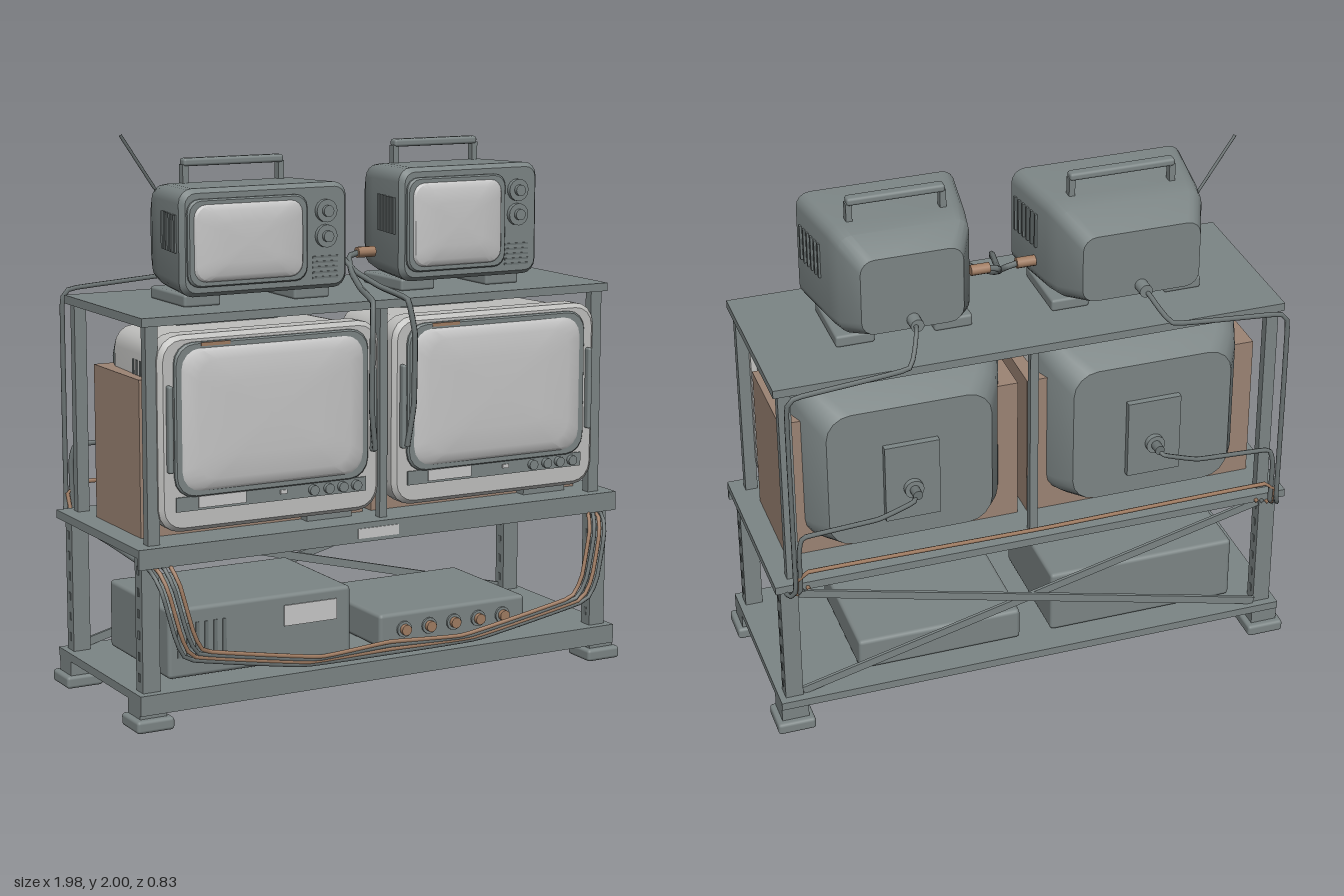
import * as THREE from 'three';
import { toCreasedNormals } from 'three/addons/utils/BufferGeometryUtils.js';
import { RoundedBoxGeometry } from 'three/addons/geometries/RoundedBoxGeometry.js';

const mat = (name, color) => Object.assign(new THREE.MeshStandardMaterial({ color }), { name });

export function createModel() {
  const root = new THREE.Group();
  root.name = 'televisionRack';
  const steel = mat('grey steel', 0x7c8585);
  const shell = mat('pale plastic', 0xc0c0be);
  const glass = mat('screen glass', 0xc6c6c6);
  const wood = mat('brown wood', 0x9c8474);
  const copper = mat('copper', 0xa07c62);
  const cable = mat('dark cable', 0x6c7474);
  const paper = mat('label', 0xc8c8c8);

  const add = (parent, name, geo, m, x = 0, y = 0, z = 0) => {
    const mesh = new THREE.Mesh(geo, m);
    mesh.name = name;
    mesh.position.set(x, y, z);
    parent.add(mesh);
    return mesh;
  };
  const group = (name, parent = root) => {
    const g = new THREE.Group();
    g.name = name;
    parent.add(g);
    return g;
  };
  const box = (p, name, m, w, h, d, x, y, z) => add(p, name, new THREE.BoxGeometry(w, h, d), m, x, y, z);
  const rbox = (p, name, m, w, h, d, x, y, z, r = 0.015) =>
    add(p, name, new RoundedBoxGeometry(w, h, d, 2, r), m, x, y, z);
  const knob = (p, name, m, r, len, x, y, z) =>
    add(p, name, new THREE.CylinderGeometry(r, r, len, 16).rotateX(Math.PI / 2), m, x, y, z);
  const tube = (p, name, m, pts, r = 0.008) => {
    const curve = new THREE.CatmullRomCurve3(pts.map(a => new THREE.Vector3(...a)), false, 'catmullrom', 0.15);
    return add(p, name, new THREE.TubeGeometry(curve, pts.length * 6, r, 6), m);
  };
  // straight square bar between two points in a plane of constant z
  const bar = (p, name, m, x1, y1, x2, y2, z, t) => {
    const b = box(p, name, m, Math.hypot(x2 - x1, y2 - y1), t, 0.012, (x1 + x2) / 2, (y1 + y2) / 2, z);
    b.rotation.z = Math.atan2(y2 - y1, x2 - x1);
  };

  // rounded-rectangle sections [z, width, height, centreY, radius], ordered front to back
  const loft = (sections) => {
    const steps = 4, n = 4 * (steps + 1), pos = [], idx = [];
    for (const [z, w, h, cy, r] of sections)
      for (let c = 0; c < 4; c++)
        for (let s = 0; s <= steps; s++) {
          const a = (c + s / steps) * Math.PI / 2;
          const sx = c === 0 || c === 3 ? 1 : -1, sy = c < 2 ? 1 : -1;
          pos.push(sx * (w / 2 - r) + r * Math.cos(a), cy + sy * (h / 2 - r) + r * Math.sin(a), z);
        }
    const last = sections.length - 1;
    for (let i = 0; i < last; i++)
      for (let j = 0; j < n; j++) {
        const a = i * n + j, a2 = i * n + (j + 1) % n;
        idx.push(a, a + n, a2, a2, a + n, a2 + n);
      }
    const f = pos.length / 3, b = last * n;
    pos.push(0, sections[0][3], sections[0][0], 0, sections[last][3], sections[last][0]);
    for (let j = 0; j < n; j++) {
      const k = (j + 1) % n;
      idx.push(f, j, k, f + 1, b + k, b + j);
    }
    const g = new THREE.BufferGeometry();
    g.setAttribute('position', new THREE.Float32BufferAttribute(pos, 3));
    g.setIndex(idx);
    return toCreasedNormals(g, 0.5);
  };
  // dark surround with a bulging screen
  const screen = (p, x, y, w, h, z, r) => {
    add(p, 'screenFrame', loft([[z + 0.015, w - 0.01, h - 0.01, y, r], [z + 0.008, w, h, y, r], [z - 0.02, w, h, y, r]]), steel, x);
    const W = w - 0.035, H = h - 0.03;
    add(p, 'screen', loft([[z + 0.036, W * 0.5, H * 0.5, y, r * 0.6], [z + 0.031, W * 0.82, H * 0.82, y, r],
      [z + 0.023, W * 0.95, H * 0.94, y, r], [z + 0.01, W, H, y, r]]), glass, x);
  };

  // rack
  const rack = group('rack');
  for (const [y, w, d] of [[0.115, 1.94, 0.715], [0.625, 1.94, 0.715], [1.405, 1.87, 0.66]])
    box(rack, 'shelf', steel, w, 0.03, d, 0, y, 0);
  for (const y of [0.095, 0.605]) box(rack, 'shelfLip', steel, 1.94, 0.07, 0.014, 0, y, 0.351);
  for (const sx of [-1, 1])
    for (const sz of [-1, 1]) {
      rbox(rack, 'foot', steel, 0.14, 0.045, 0.14, sx * 0.92, 0.025, sz * 0.305, 0.012);
      box(rack, 'footBlock', steel, 0.1, 0.06, 0.1, sx * 0.92, 0.075, sz * 0.3);
      box(rack, 'lowerPost', steel, 0.065, 0.49, 0.055, sx * 0.915, 0.37, sz * 0.3);
      for (let i = 0; i < 6; i++)
        box(rack, 'postSlot', cable, 0.069, 0.03, 0.014, sx * 0.915, 0.18 + i * 0.075, sz * 0.3);
      box(rack, 'upperPost', steel, 0.045, 0.76, 0.035, sx * 0.895, 1.015, sz * 0.3);
    }
  for (const sz of [-1, 1]) box(rack, 'middlePost', steel, 0.03, 0.76, 0.03, 0, 1.015, sz * 0.3);
  bar(rack, 'crossBrace', steel, -0.88, 0.58, 0.88, 0.14, -0.315, 0.03);
  bar(rack, 'crossBrace', steel, 0.88, 0.58, -0.88, 0.14, -0.33, 0.03);
  box(rack, 'shelfLabel', paper, 0.165, 0.036, 0.005, -0.045, 0.602, 0.359);

  // equipment on the lower shelf
  const gear = group('equipment');
  rbox(gear, 'tallUnit', steel, 0.72, 0.25, 0.5, -0.45, 0.26, -0.01);
  box(gear, 'unitLabel', paper, 0.21, 0.075, 0.006, -0.255, 0.308, 0.242);
  for (let i = 0; i < 6; i++) box(gear, 'unitVent', cable, 0.014, 0.12, 0.008, -0.77 + i * 0.035, 0.27, 0.24);
  rbox(gear, 'flatUnit', steel, 0.62, 0.125, 0.5, 0.34, 0.195, -0.01);
  for (let i = 0; i < 5; i++) {
    knob(gear, 'socketRing', steel, 0.03, 0.01, 0.13 + i * 0.105, 0.195, 0.243);
    knob(gear, 'socket', copper, 0.02, 0.03, 0.13 + i * 0.105, 0.195, 0.25);
  }

  // large televisions on the middle shelf
  for (const cx of [-0.455, 0.45]) {
    const tv = group('largeTelevision');
    tv.position.x = cx;
    const cy = 1.017;
    add(tv, 'bezel', loft([[0.34, 0.82, 0.645, cy, 0.07], [0.325, 0.85, 0.675, cy, 0.08], [0.26, 0.85, 0.675, cy, 0.08],
      [0.25, 0.81, 0.645, cy, 0.07], [-0.11, 0.77, 0.63, cy, 0.07]]), shell);
    add(tv, 'rearHousing', loft([[-0.11, 0.77, 0.63, cy, 0.07], [-0.22, 0.69, 0.58, 1.0, 0.08], [-0.295, 0.6, 0.53, 0.985, 0.09]]), steel);
    box(tv, 'woodCase', wood, 0.87, 0.55, 0.38, 0, 0.915, 0.01);
    screen(tv, 0, 1.065, 0.745, 0.53, 0.34, 0.07);
    box(tv, 'controlStrip', steel, 0.735, 0.05, 0.015, 0, 0.777, 0.338);
    box(tv, 'controlLabel', paper, 0.18, 0.04, 0.006, -0.195, 0.78, 0.347);
    box(tv, 'indicator', paper, 0.026, 0.014, 0.006, 0.04, 0.782, 0.347);
    for (const x of [0.155, 0.215, 0.27, 0.325]) knob(tv, 'tuningKnob', steel, 0.018, 0.02, x, 0.777, 0.352);
    box(tv, 'topStrip', copper, 0.11, 0.012, 0.006, -0.22, 1.322, 0.355);
    for (const sx of [-1, 1]) {
      rbox(tv, 'sideGrip', steel, 0.018, 0.3, 0.03, sx * 0.392, 1.04, 0.352, 0.008);
      for (let i = 0; i < 6; i++)
        box(tv, 'sideVent', cable, 0.012, 0.055, 0.012, sx * (0.392 + i * 0.0016), 1.215, 0.07 + i * 0.032);
    }
    rbox(tv, 'topHandle', steel, 0.4, 0.035, 0.035, 0, 1.345, -0.01, 0.01);
    box(tv, 'frontFoot', steel, 0.18, 0.045, 0.05, 0.275, 0.66, 0.22);
    box(tv, 'backPlate', steel, 0.2, 0.3, 0.03, 0, 0.955, -0.305);
    knob(tv, 'plugCollar', steel, 0.035, 0.02, 0, 0.93, -0.33);
    knob(tv, 'plug', cable, 0.018, 0.05, 0, 0.93, -0.355);
  }

  // portable televisions on the top shelf
  for (const [cx, W, y1, zb] of [[-0.415, 0.645, 1.83, -0.25], [0.408, 0.575, 1.865, -0.225]]) {
    const tv = group('portableTelevision');
    tv.position.x = cx;
    const y0 = 1.46, H = y1 - y0, cy = (y0 + y1) / 2, left = -W / 2;
    add(tv, 'housing', loft([[0.225, W - 0.03, H - 0.03, cy, 0.04], [0.205, W, H, cy, 0.05], [-0.05, W - 0.08, H - 0.01, cy, 0.05],
      [-0.13, W - 0.11, H - 0.03, cy, 0.05], [zb, W - 0.21, H - 0.12, cy - 0.01, 0.05]]), steel);
    const sw = W * 0.71;
    screen(tv, left + 0.02 + sw / 2, cy, sw, H - 0.07, 0.225, 0.045);
    const kx = W / 2 - 0.093;
    for (const dy of [0.097, 0.185]) {
      knob(tv, 'dial', steel, 0.04, 0.02, kx, y1 - dy, 0.232);
      knob(tv, 'dialCap', steel, 0.02, 0.02, kx, y1 - dy, 0.246);
    }
    for (let i = 0; i < 5; i++) box(tv, 'speakerSlot', cable, 0.1, 0.007, 0.008, kx, 1.5 + i * 0.018, 0.225);
    for (const sx of [-1, 1]) {
      for (let i = 0; i < 6; i++) {
        const z = 0.02 + i * 0.03;
        box(tv, 'sideVent', cable, 0.014, 0.13, 0.013, sx * (W / 2 - (0.205 - z) * 0.157), cy + 0.03, z);
      }
      rbox(tv, 'base', steel, 0.14, 0.045, 0.28, sx * (W / 2 - 0.11), 1.44, 0.02, 0.01);
      box(tv, 'handlePost', steel, 0.022, 0.07, 0.03, sx * W * 0.29, y1 + 0.025, -0.035);
    }
    rbox(tv, 'handle', steel, W * 0.605, 0.028, 0.042, 0, y1 + 0.068, -0.035, 0.01);
    knob(tv, 'rearPlug', steel, 0.024, 0.06, 0, 1.545, zb - 0.02);
  }
  tube(root, 'antenna', cable, [[-0.67, 1.79, -0.11], [-0.81, 1.995, -0.105]], 0.006);

  // leads between the portables, crossing and hanging in front of the large sets
  const leads = group('leads');
  for (const s of [-1, 1]) {
    add(leads, 'copperPlug', new THREE.CylinderGeometry(0.02, 0.02, 0.07, 10).rotateZ(Math.PI / 2), copper, s * 0.085, 1.552, 0.03);
    tube(leads, 'frontLead', cable, [[s * 0.06, 1.552, 0.03], [s * 0.015, 1.54, 0.035], [-s * 0.01, 1.49, 0.1], [-s * 0.04, 1.45, 0.22],
      [-s * 0.07, 1.42, 0.36], [-s * 0.085, 1.3, 0.385], [-s * 0.085, 1.05, 0.38], [-s * 0.065, 0.9, 0.37]], 0.011);
    tube(leads, 'rearLead', cable, [[s * 0.41, 1.545, -0.25], [s * 0.42, 1.54, -0.3], [s * 0.48, 1.46, -0.4],
      [s * 0.87, 1.43, -0.41], [s * 0.91, 1.38, -0.41], [s * 0.91, 0.66, -0.41], [s * 0.93, 0.61, -0.38], [s * 0.93, 0.6, -0.3]], 0.009);
    tube(leads, 'setLead', cable, [[s * 0.45, 0.93, -0.36], [s * 0.47, 0.91, -0.385], [s * 0.6, 0.87, -0.39],
      [s * 0.87, 0.86, -0.4], [s * 0.89, 0.8, -0.405], [s * 0.89, 0.64, -0.4], [s * 0.92, 0.6, -0.36]], 0.009);
  }
  tube(leads, 'backCopperLead', copper, [[0.9, 0.62, -0.39], [0.88, 0.72, -0.41], [0, 0.71, -0.405], [-0.88, 0.72, -0.41], [-0.9, 0.62, -0.39]]);

  // bundle running forward under the middle shelf and sagging across the front
  for (let i = 0; i < 4; i++) {
    const o = i * 0.022, m = i % 2 ? copper : cable, pts = [];
    const half = [[0.92, 0.6, -0.38], [0.92, 0.585, 0], [0.92, 0.56, 0.34], [0.9, 0.49, 0.39], [0.86, 0.33, 0.405], [0.81, 0.25, 0.4], [0.36, 0.165, 0.385]];
    for (const [x, y, z] of half) pts.push([-x + o, y + o * 0.3, z]);
    pts.push([0, 0.155 + o * 0.6, 0.365]);
    for (const [x, y, z] of half.reverse()) pts.push([x - o, y + o * 0.3, z]);
    tube(leads, 'saggingLead', m, pts);
  }
  return root;
}
